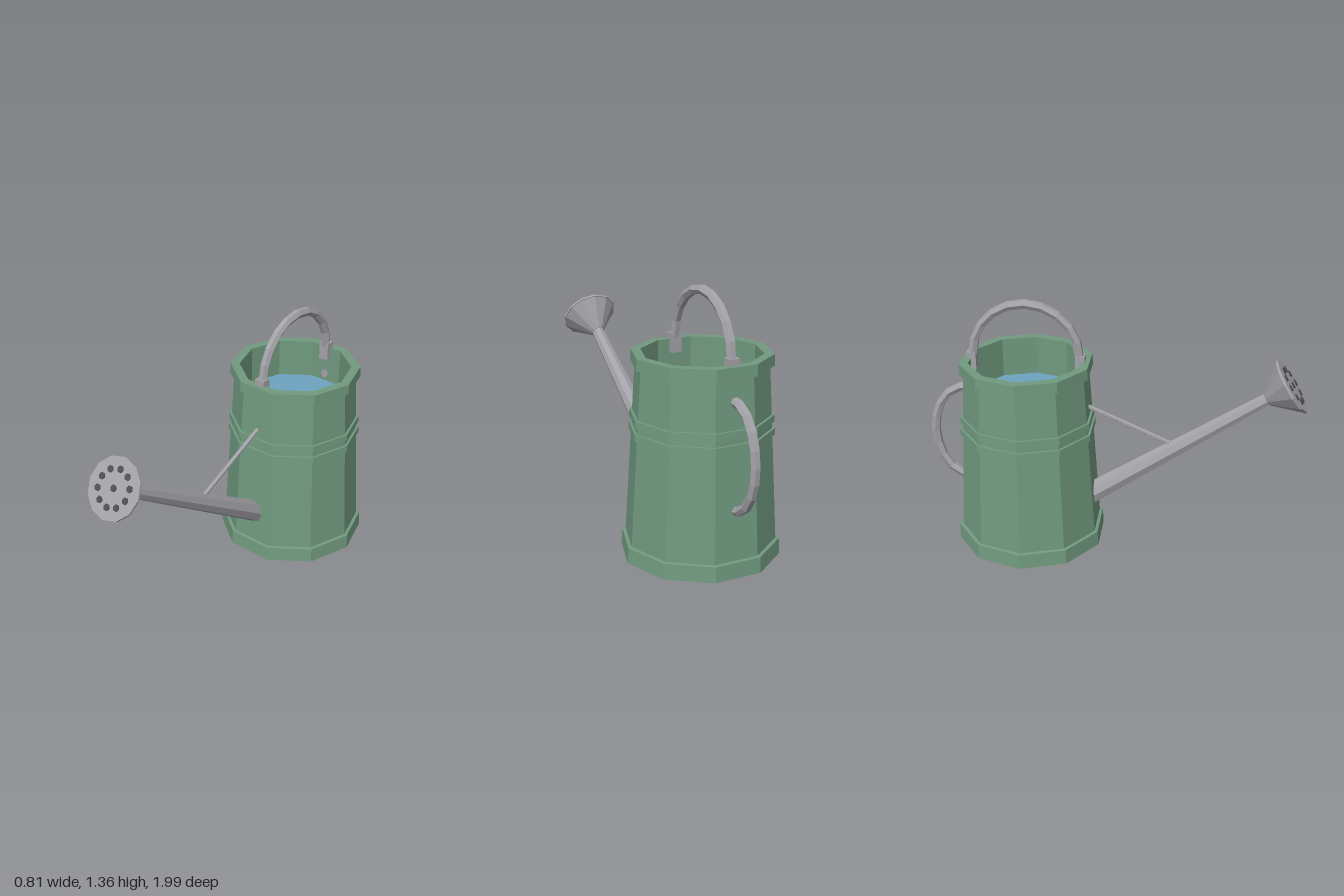
import * as THREE from 'three';

const paint = (name, color) => {
  const m = new THREE.MeshStandardMaterial({ color, flatShading: true });
  m.name = name;
  return m;
};

export function createModel() {
  const green = paint('green enamel', 0x719a7f);
  const metal = paint('grey metal', 0xa2a2a8);
  const blue = paint('water blue', 0x6fa3c0);
  const dark = paint('dark grey', 0x4e4e54);

  const model = new THREE.Group();
  model.name = 'wateringCan';
  const add = (parent, name, geometry, material, x = 0, y = 0, z = 0) => {
    const mesh = new THREE.Mesh(geometry, material);
    mesh.name = name;
    mesh.position.set(x, y, z);
    parent.add(mesh);
    return mesh;
  };

  // Ten-sided can: recessed underside, foot band, two hoops, rim and hollow inside
  const axisZ = -0.465;
  const profile = [
    [0, 0.03], [0.365, 0.03], [0.385, 0], [0.405, 0], [0.4, 0.08], [0.383, 0.083],
    [0.351, 0.63], [0.364, 0.63], [0.362, 0.662], [0.349, 0.662],
    [0.347, 0.698], [0.36, 0.698], [0.358, 0.73], [0.345, 0.73],
    [0.33, 0.978], [0.353, 0.978], [0.35, 1.035], [0.302, 1.035],
    [0.302, 0.06], [0, 0.06],
  ].map(([r, y]) => new THREE.Vector2(r, y));
  add(model, 'can', new THREE.LatheGeometry(profile, 10, Math.PI / 10), green, 0, 0, axisZ);

  // Water surface
  const water = new THREE.CylinderGeometry(0.301, 0.301, 0.008, 10, 1, false, Math.PI / 10);
  add(model, 'water', water, blue, 0, 0.82, axisZ);

  // Handles: six-sided tubes along half ellipses in the side plane
  const tube = (name, points, segments) => {
    const curve = new THREE.CatmullRomCurve3(points.map(([z, y]) => new THREE.Vector3(0, y, z)));
    add(model, name, new THREE.TubeGeometry(curve, segments, 0.025, 6), metal);
  };
  const halfEllipse = (cz, cy, rz, ry, start) => Array.from({ length: 9 }, (_, i) => {
    const a = start + (i * Math.PI) / 8;
    return [cz + rz * Math.cos(a), cy + ry * Math.sin(a)];
  });
  tube('topHandle', halfEllipse(axisZ, 1.05, 0.28, 0.285, 0), 10);
  tube('rearHandle', [[-0.745, 0.868], ...halfEllipse(-0.79, 0.597, 0.185, 0.27, Math.PI / 2), [-0.76, 0.327]], 10);
  add(model, 'rearHandleEnd', new THREE.CircleGeometry(0.025, 6), metal, 0, 0.868, -0.744);

  // Sockets holding the top handle to the rim
  for (const side of [-1, 1]) {
    add(model, 'handleSocket', new THREE.BoxGeometry(0.056, 0.1, 0.05), metal, 0, 1.017, axisZ + side * 0.285);
  }

  // Spout and rose share one tilted axis, with the origin at the neck
  const spout = new THREE.Group();
  spout.name = 'spoutAssembly';
  spout.position.set(0, 0.865, 0.785);
  spout.rotation.x = 0.983;
  model.add(spout);
  add(spout, 'spout', new THREE.CylinderGeometry(0.034, 0.062, 1.15, 8), metal, 0, -0.565, 0);
  add(spout, 'roseCone', new THREE.CylinderGeometry(0.152, 0.036, 0.14, 12), metal, 0, 0.07, 0);
  add(spout, 'rosePlate', new THREE.CylinderGeometry(0.156, 0.156, 0.012, 12), metal, 0, 0.146, 0);

  // Sprinkler holes: one in the middle and a ring of ten
  for (let i = 0; i <= 10; i++) {
    const a = (i * Math.PI) / 5;
    const r = i === 0 ? 0 : 0.094;
    add(spout, 'roseHole', new THREE.CylinderGeometry(0.018, 0.018, 0.008, 6, 1, false, Math.PI / 6),
      dark, r * Math.sin(a), 0.153, r * Math.cos(a));
  }

  // Brace from the can to the spout
  const from = new THREE.Vector3(0, 0.78, -0.15);
  const to = new THREE.Vector3(0, 0.58, 0.3);
  const brace = add(model, 'brace', new THREE.CylinderGeometry(0.012, 0.012, from.distanceTo(to), 6), metal);
  brace.position.copy(from).lerp(to, 0.5);
  brace.quaternion.setFromUnitVectors(new THREE.Vector3(0, 1, 0), to.clone().sub(from).normalize());

  return model;
}
